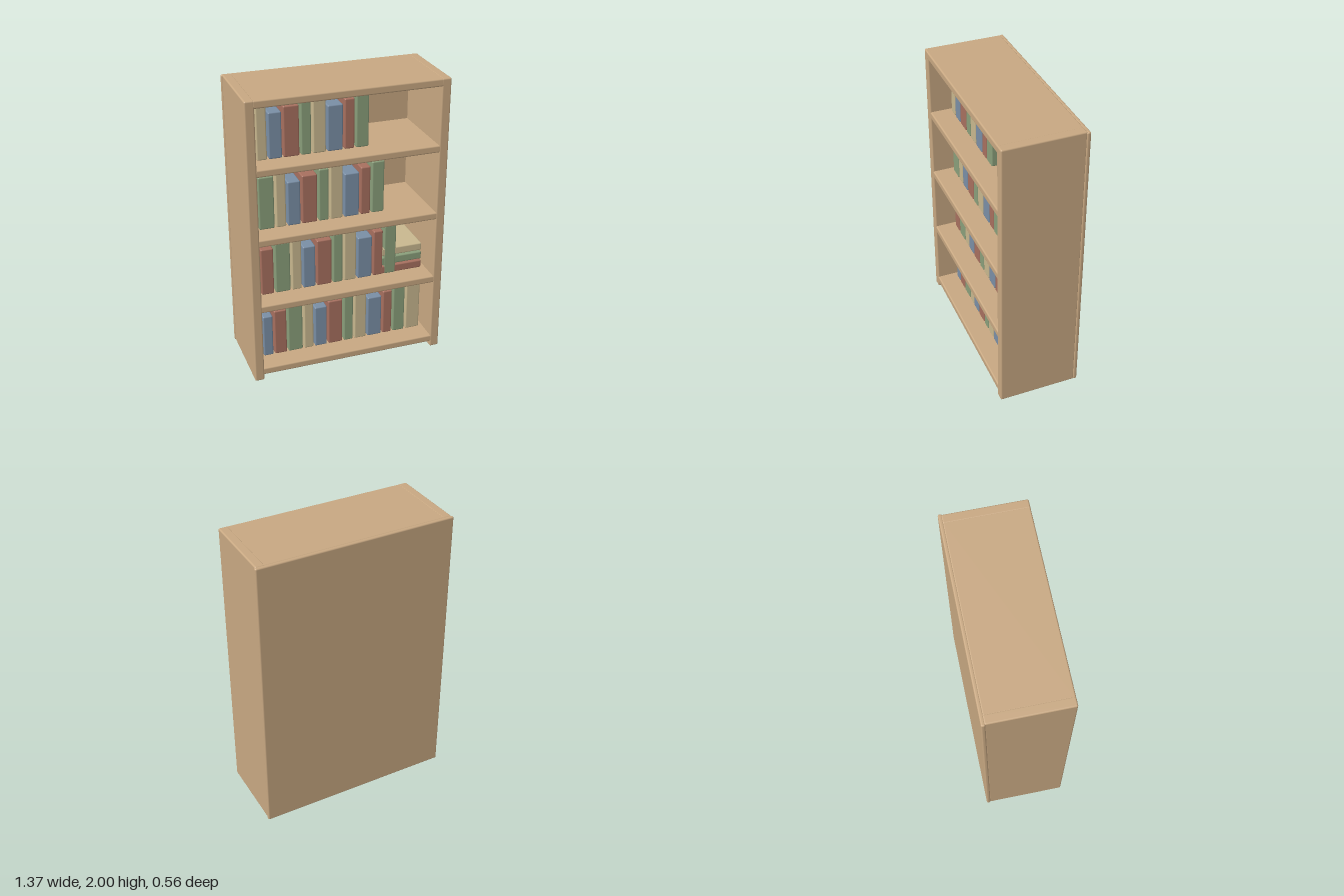
import * as THREE from 'three';
import { RoundedBoxGeometry } from 'three/addons/geometries/RoundedBoxGeometry.js';

const material = (color) => new THREE.MeshStandardMaterial({ color });

// Rounded block given by its extents on each axis
function block(name, mat, [x0, x1], [y0, y1], [z0, z1], radius) {
  const geometry = new RoundedBoxGeometry(x1 - x0, y1 - y0, z1 - z0, 3, radius);
  const mesh = new THREE.Mesh(geometry, mat);
  mesh.position.set((x0 + x1) / 2, (y0 + y1) / 2, (z0 + z1) / 2);
  mesh.name = name;
  return mesh;
}

export function createModel() {
  const model = new THREE.Group();
  model.name = 'bookcase';
  const wood = material(0xc8a882);

  // Carcass: two sides, top board and a slightly wider back panel
  const depth = [-0.262, 0.28];
  model.add(
    block('rightSide', wood, [-0.676, -0.612], [0, 2], depth, 0.01),
    block('leftSide', wood, [0.612, 0.676], [0, 2], depth, 0.01),
    block('topBoard', wood, [-0.625, 0.625], [1.947, 1.999], depth, 0.01),
    block('backPanel', wood, [-0.683, 0.683], [0.005, 1.998], [-0.282, -0.255], 0.01),
  );

  // Shelves, from the lowest up; their ends sit in the sides
  const shelfTops = [0.09, 0.575, 1.062, 1.547];
  const shelves = new THREE.Group();
  shelves.name = 'shelves';
  for (const y of shelfTops) {
    shelves.add(block('shelf', wood, [-0.625, 0.625], [y - 0.05, y], [-0.262, 0.278], 0.01));
  }
  model.add(shelves);

  // Book kinds: colour sets the height, thickness repeats in threes
  const covers = [0x7a8fa6, 0xa8705f, 0x8a9f7b, 0xc9b88f].map(material);
  const heights = [0.31, 0.34, 0.368, 0.395];
  const widths = [0.067, 0.086, 0.103];
  const bookDepth = [-0.215, 0.14];

  // Upright rows: number of books and offset into the thickness cycle
  const rows = [[12, 0], [10, 1], [9, 2], [8, 0]];
  rows.forEach(([count, offset], row) => {
    const books = new THREE.Group();
    books.name = `bookRow${row + 1}`;
    const y = shelfTops[row] + 0.003;
    let x = -0.572;
    for (let i = 0; i < count; i++) {
      const kind = (i + row) % 4;
      const width = widths[(i + offset) % 3];
      books.add(block('book', covers[kind], [x, x + width], [y, y + heights[kind]], bookDepth, 0.009));
      x += width + 0.0117;
    }
    model.add(books);
  });

  // Books lying flat on the second shelf
  const stack = new THREE.Group();
  stack.name = 'bookStack';
  for (let i = 0; i < 3; i++) {
    const y = 0.58 + i * 0.068;
    stack.add(block('flatBook', covers[i + 1], [0.28, 0.58], [y, y + 0.057], [-0.214, 0.139], 0.009));
  }
  model.add(stack);

  return model;
}
